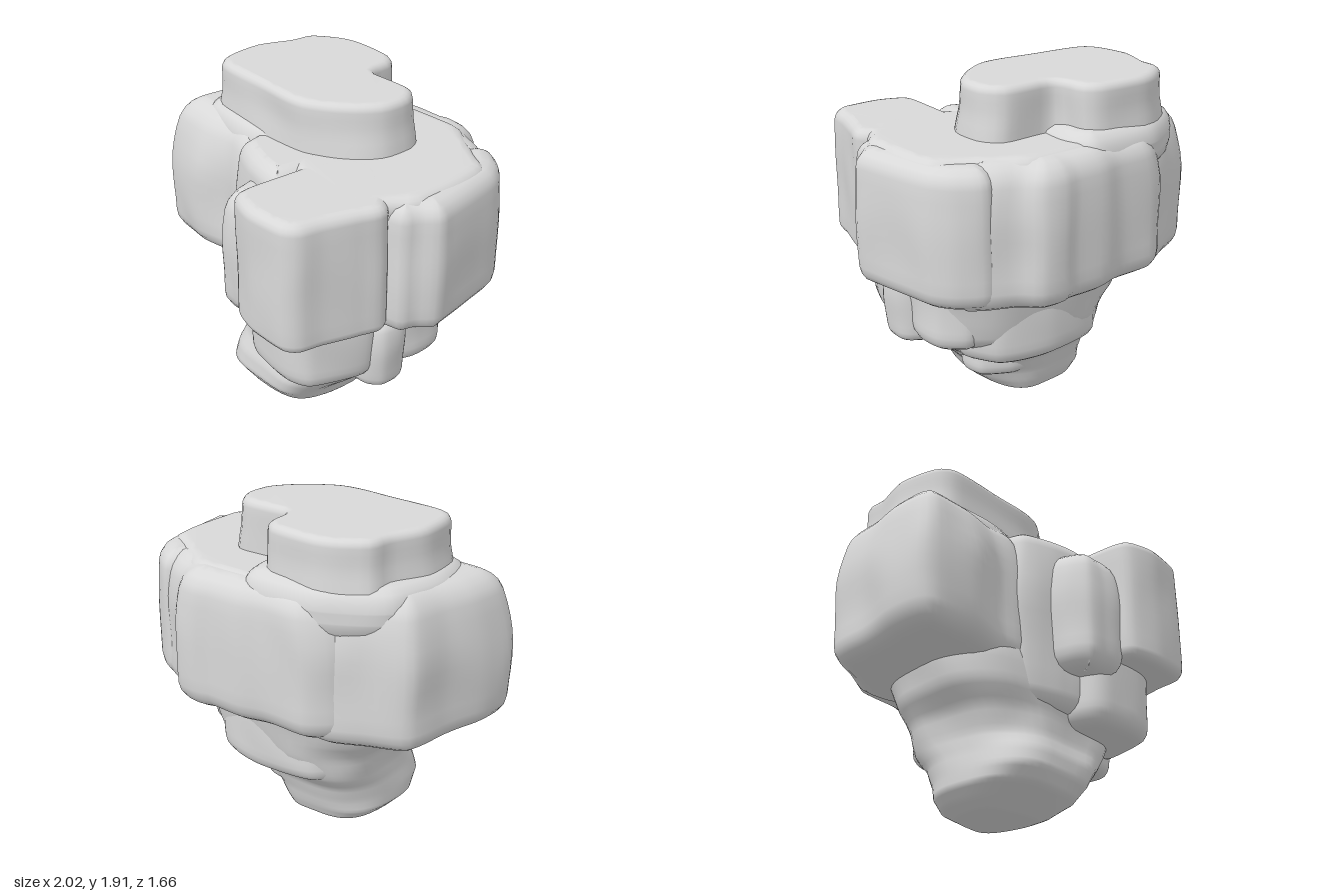
import * as THREE from 'three';
import { mergeVertices } from 'three/addons/utils/BufferGeometryUtils.js';

const stone = new THREE.MeshStandardMaterial({ color: 0xd8d8d8 });
stone.name = 'stone grey';

// Gentle weathering, the same everywhere so neighbouring parts agree
const wave = (a, b, c) => Math.sin(a * 9 + Math.sin(b * 7) * 1.5) * Math.sin(c * 8 + a * 3);

function part(name, geo) {
  geo.computeVertexNormals();
  const mesh = new THREE.Mesh(geo, stone);
  mesh.name = name;
  return mesh;
}

// A rounded slab of rock from a plan outline [x, z]; foot and head scale its two ends
function slab(name, plan, y0, y1, { round = 0.07, foot = 1, head = 1, rough = 0.01 } = {}) {
  const curve = new THREE.CatmullRomCurve3(
    plan.map(([x, z]) => new THREE.Vector3(x, -z, 0)), true, 'catmullrom', 0.35);
  const outline = curve.getSpacedPoints(72).slice(0, -1).map(p => new THREE.Vector2(p.x, p.y));
  let geo = new THREE.ExtrudeGeometry(new THREE.Shape(outline), {
    depth: y1 - y0 - 2 * round, steps: 8, bevelEnabled: true,
    bevelThickness: round, bevelSize: round, bevelOffset: -round, bevelSegments: 4,
  });
  geo.rotateX(-Math.PI / 2).translate(0, y0 + round, 0);
  geo.deleteAttribute('normal');
  geo.deleteAttribute('uv');
  geo.clearGroups();
  geo = mergeVertices(geo, 1e-4);
  geo.computeBoundingBox();
  const mid = geo.boundingBox.getCenter(new THREE.Vector3());
  const pos = geo.attributes.position;
  for (let i = 0; i < pos.count; i++) {
    const x = pos.getX(i), y = pos.getY(i), z = pos.getZ(i);
    const t = (y - y0) / (y1 - y0);
    const k = 1 + (foot - 1) * Math.max(0, 1 - t * 1.6) + (head - 1) * Math.max(0, t * 2 - 1) ** 2;
    pos.setXYZ(i,
      mid.x + (x - mid.x) * k + rough * wave(y, z, x),
      y,
      mid.z + (z - mid.z) * k + rough * wave(x, y, z));
  }
  return part(name, geo);
}

// A tapering trunk through levels [y, left, right, back, front], listed downwards
function trunk(name, levels, { sides = 48, sub = 4, rough = 0.018 } = {}) {
  const verts = [], index = [];
  const rows = (levels.length - 1) * sub;
  const power = v => Math.sign(v) * Math.abs(v) ** 0.7;
  for (let i = 0; i <= rows; i++) {
    const n = Math.min(Math.floor(i / sub), levels.length - 2);
    const [y, x0, x1, z0, z1] = levels[n].map(
      (v, q) => THREE.MathUtils.lerp(v, levels[n + 1][q], i / sub - n));
    for (let j = 0; j < sides; j++) {
      const a = (j / sides) * Math.PI * 2;
      const x = (x0 + x1) / 2 + power(Math.cos(a)) * (x1 - x0) / 2;
      const z = (z0 + z1) / 2 + power(Math.sin(a)) * (z1 - z0) / 2;
      verts.push(x + rough * wave(y, z, x), y, z + rough * wave(x, y, z));
      if (i === rows) continue;
      const p = i * sides + j, q = i * sides + (j + 1) % sides;
      index.push(p, q, p + sides, q, q + sides, p + sides);
    }
  }
  const geo = new THREE.BufferGeometry();
  geo.setAttribute('position', new THREE.Float32BufferAttribute(verts, 3));
  geo.setIndex(index);
  return part(name, geo);
}

export function createModel() {
  const rock = new THREE.Group();
  rock.name = 'floatingRock';
  rock.add(
    // Raised plateau with a notch at the back
    slab('plateau', [[-0.75, -0.08], [-0.69, -0.3], [-0.68, -0.43], [-0.55, -0.54], [-0.42, -0.59],
      [-0.15, -0.59], [-0.06, -0.53], [-0.04, -0.42], [0.02, -0.35], [0.3, -0.37], [0.4, -0.27],
      [0.41, -0.1], [0.35, 0.02], [0.25, 0.12], [0.1, 0.21], [-0.1, 0.24], [-0.6, 0.24],
      [-0.71, 0.15]], 1.48, 1.91, { round: 0.045, foot: 1.08, rough: 0.006 }),
    // Low shoulder behind and to the left of the plateau
    slab('shoulder', [[-0.84, 0], [-0.8, -0.38], [-0.5, -0.63], [-0.05, -0.69], [0.08, -0.5],
      [0.05, -0.2], [-0.1, 0.26], [-0.7, 0.3]], 1.36, 1.67, { round: 0.12 }),

    // Wide body and the lumps around its rim
    slab('body', [[-0.7, 0.28], [-0.74, -0.2], [-0.62, -0.42], [-0.42, -0.58], [0, -0.66],
      [0.35, -0.71], [0.5, -0.62], [0.68, -0.53], [0.83, -0.45], [0.88, -0.2], [0.9, 0.08],
      [0.82, 0.2], [0.74, 0.38], [0.25, 0.38], [0.12, 0.31], [-0.1, 0.29], [-0.4, 0.29]],
      0.84, 1.62, { round: 0.07, foot: 0.95 }),
    slab('leftLobe', [[-1, 0.12], [-1, 0.34], [-0.93, 0.43], [-0.65, 0.45], [-0.42, 0.39],
      [-0.2, 0.39], [-0.15, 0], [-0.25, -0.56], [-0.5, -0.62], [-0.72, -0.5], [-0.92, -0.38],
      [-0.95, -0.12]], 0.77, 1.63, { round: 0.12, head: 0.8 }),
    slab('rightLobe', [[0.93, 0.12], [0.88, 0.21], [0.5, 0.24], [0.4, -0.4], [0.6, -0.68],
      [0.77, -0.62], [0.87, -0.5], [0.92, -0.32], [0.98, -0.08], [1, 0.02]],
      0.84, 1.6, { round: 0.1, head: 0.96, rough: 0.006 }),
    slab('backLobe', [[-0.6, -0.54], [-0.46, -0.7], [-0.2, -0.73], [-0.05, -0.78], [0.16, -0.8],
      [0.24, -0.83], [0.38, -0.82], [0.48, -0.73], [0.64, -0.67], [0.75, -0.58], [0.6, -0.3],
      [-0.5, -0.3]], 0.81, 1.61, { round: 0.12, head: 0.86, rough: 0.008 }),
    slab('frontBlock', [[0.23, 0.3], [0.23, 0.66], [0.27, 0.77], [0.45, 0.82], [0.68, 0.8],
      [0.76, 0.73], [0.78, 0.6], [0.83, 0.4], [0.84, 0.24], [0.5, 0], [0.27, 0.05]],
      0.87, 1.62, { round: 0.06, rough: 0.005 }),

    // Ribs on the front, left of the big block
    slab('frontRib', [[-0.31, 0.1], [-0.3, 0.38], [-0.2, 0.46], [0, 0.51], [0.28, 0.53],
      [0.3, 0.1]], 0.55, 1.62, { round: 0.1, foot: 0.86, head: 0.78 }),
    slab('frontNub', [[-0.1, 0.3], [-0.08, 0.56], [-0.01, 0.69], [0.1, 0.71], [0.28, 0.69],
      [0.3, 0.3]], 0.76, 1.5, { round: 0.12, foot: 0.93, head: 0.72 }),

    // Underside, narrowing to the tip
    trunk('stem', [
      [1.0, -0.56, 0.78, -0.58, 0.42], [0.8, -0.58, 0.73, -0.55, 0.43],
      [0.64, -0.55, 0.71, -0.51, 0.44], [0.52, -0.46, 0.67, -0.48, 0.43],
      [0.38, -0.42, 0.54, -0.41, 0.44], [0.28, -0.41, 0.43, -0.32, 0.48],
      [0.18, -0.41, 0.33, -0.28, 0.49], [0.1, -0.41, 0.28, -0.26, 0.43],
      [0.04, -0.35, 0.21, -0.24, 0.29], [0, -0.26, 0.13, -0.18, 0.2],
      [0, -0.07, -0.07, 0, 0]]),
    slab('lowerFrontBlock', [[0.1, 0.25], [0.11, 0.55], [0.2, 0.64], [0.5, 0.65], [0.65, 0.56],
      [0.71, 0.2]], 0.49, 0.98, { round: 0.09, foot: 0.97 }),
    slab('rightKnob', [[0.4, 0.24], [0.68, 0.25], [0.77, 0.18], [0.77, 0.05], [0.7, -0.02],
      [0.4, -0.1]], 0.41, 0.84, { round: 0.06, foot: 0.97, head: 0.9 }),
    slab('rightRearKnob', [[0.3, 0.05], [0.66, 0.05], [0.73, -0.08], [0.7, -0.28], [0.55, -0.4],
      [0.3, -0.3]], 0.46, 0.92, { round: 0.09 }),
    slab('backKnob', [[-0.32, -0.15], [-0.26, -0.42], [0.1, -0.52], [0.42, -0.46], [0.52, -0.2]],
      0.36, 0.88, { round: 0.09 }),
    slab('lowerRightKnob', [[0, 0.05], [0.32, 0.05], [0.42, -0.06], [0.38, -0.22], [0.2, -0.3],
      [0, -0.25]], 0.18, 0.5, { round: 0.07 }),
  );
  return rock;
}
